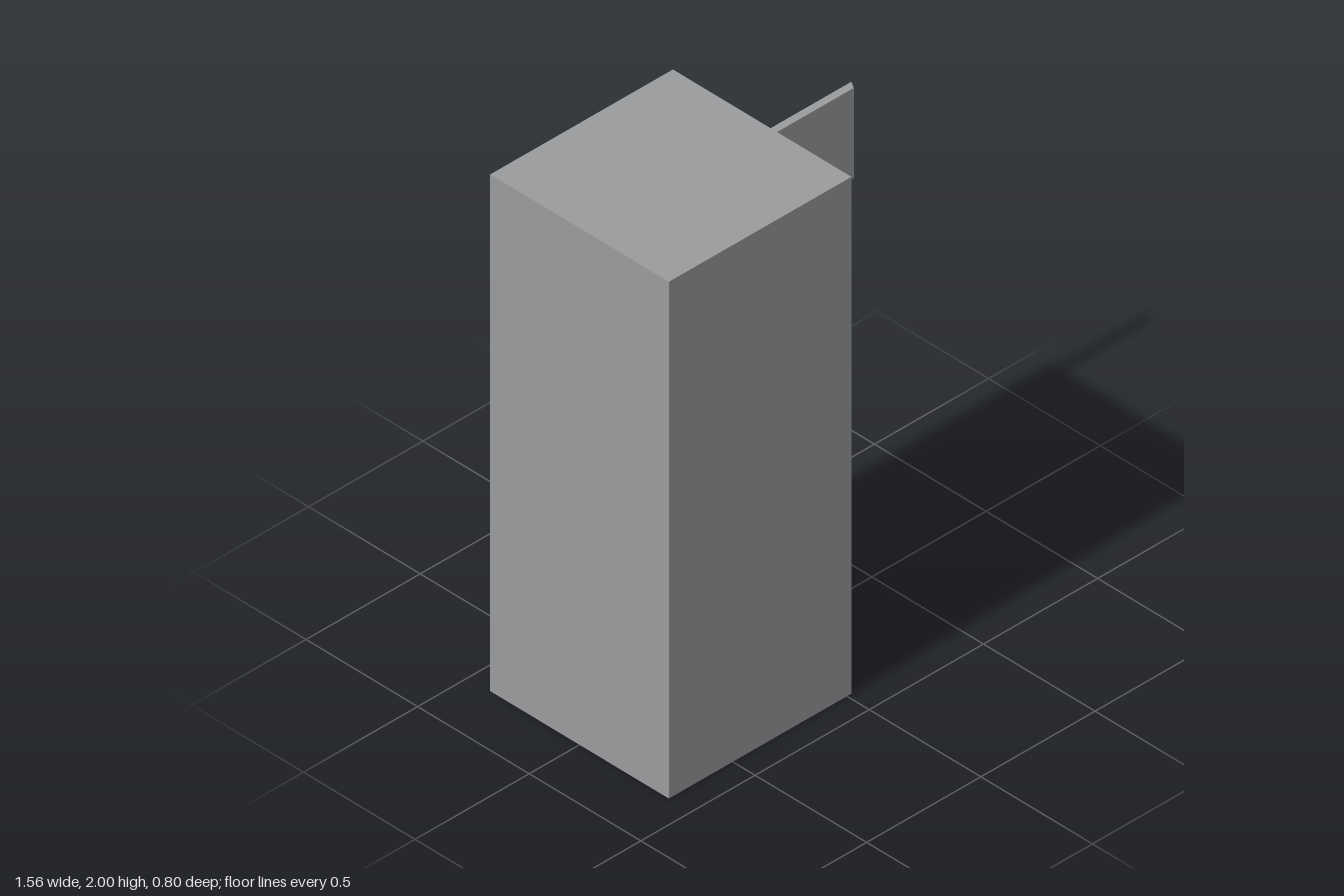
import * as THREE from 'three';

export function createModel() {
  const group = new THREE.Group();
  group.name = 'lockerCabinet';
  const steel = new THREE.MeshStandardMaterial({ name: 'steel grey', color: 0x999b9c });
  const dark = new THREE.MeshStandardMaterial({ name: 'slot black', color: 0x232210 });
  const tan = new THREE.MeshStandardMaterial({ name: 'faded copper', color: 0xa18873 });

  const add = (parent, name, geometry, material) => {
    const mesh = new THREE.Mesh(geometry, material);
    mesh.name = name;
    parent.add(mesh);
    return mesh;
  };
  const rect = (Type, x0, y0, x1, y1) => {
    const p = new Type();
    p.moveTo(x0, y0);
    p.lineTo(x1, y0);
    p.lineTo(x1, y1);
    p.lineTo(x0, y1);
    p.closePath();
    return p;
  };

  // Cabinet shell, pierced by the open compartment and extruded along x
  const side = rect(THREE.Shape, -0.4, 0, 0.4, 2);
  side.holes.push(rect(THREE.Path, -0.38, 1.228, 0.376, 1.578));
  const shell = new THREE.ExtrudeGeometry(side, { depth: 0.77, bevelEnabled: false });
  shell.rotateY(Math.PI / 2).translate(-0.75, 0, 0);
  add(group, 'cabinetShell', shell, steel);

  // Closed rear panel
  add(group, 'rearPanel', new THREE.BoxGeometry(0.03, 2, 0.8).translate(-0.765, 1, 0), steel);

  // Open door with bevelled ends
  const section = new THREE.Shape([
    new THREE.Vector2(0.035, 0.349), new THREE.Vector2(0.762, 0.349),
    new THREE.Vector2(0.78, 0.378), new THREE.Vector2(0.02, 0.378),
  ]);
  const door = new THREE.ExtrudeGeometry(section, { depth: 0.35, bevelEnabled: false });
  door.rotateX(-Math.PI / 2).translate(0, 1.228, 0);
  add(group, 'openDoor', door, steel);

  // Slot outline with rounded corners
  const w = 0.09, h = 0.04, r = 0.016;
  const slot = new THREE.Shape();
  slot.absarc(w - r, h - r, r, 0, Math.PI / 2);
  slot.absarc(-w + r, h - r, r, Math.PI / 2, Math.PI);
  slot.absarc(-w + r, -h + r, r, Math.PI, Math.PI * 1.5);
  slot.absarc(w - r, -h + r, r, Math.PI * 1.5, Math.PI * 2);
  slot.closePath();
  const slotGeo = new THREE.ExtrudeGeometry(slot, { depth: 0.005, bevelEnabled: false, curveSegments: 4 });
  const disc = (rx, ry) => new THREE.CylinderGeometry(1, 1, 0.003, 20)
    .rotateX(Math.PI / 2).scale(rx, ry, 1).translate(0, 0, 0.0015);
  const spotGeo = disc(0.045, 0.052);
  const endGeo = disc(0.034, 0.03);

  // Door fittings, laid out in a plane facing local +z
  const fittings = (name) => {
    const set = new THREE.Group();
    set.name = name;
    add(set, 'slot', slotGeo, dark).position.x = 0.155;
    for (const x of [-0.3, -0.157]) add(set, 'spot', spotGeo, tan).position.x = x;
    for (const x of [0.073, 0.238]) add(set, 'slotEnd', endGeo, tan).position.x = x;
    group.add(set);
    return set;
  };
  for (const y of [0.208, 0.608, 1.008, 1.808]) {
    const set = fittings('closedDoorFittings');
    set.position.set(0.02, y, 0);
    set.rotation.y = Math.PI / 2;
  }
  const openSet = fittings('openDoorFittings');
  openSet.position.set(0.4, 1.408, -0.378);
  openSet.rotation.y = Math.PI;

  return group;
}
